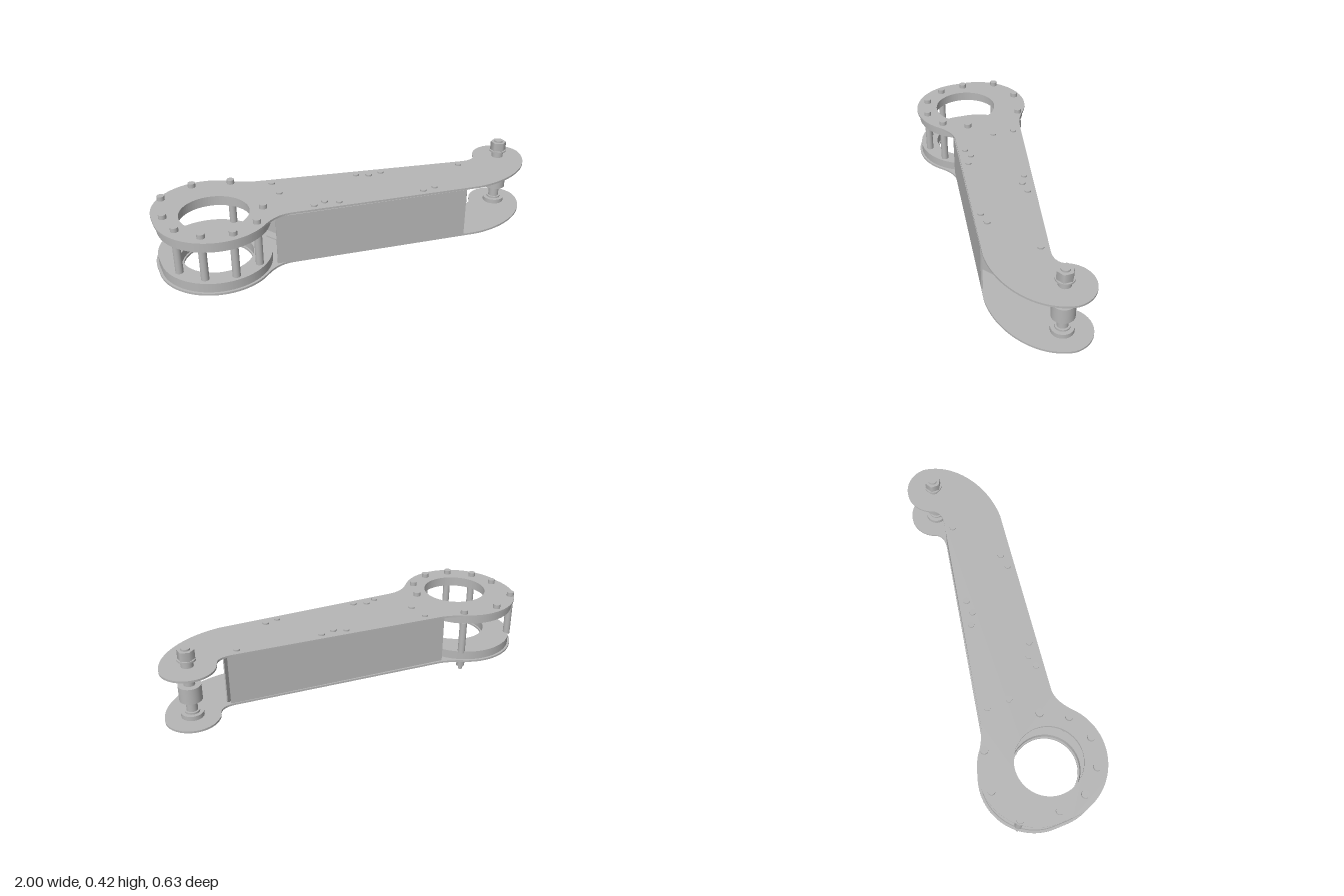
import * as THREE from 'three';

const steel = new THREE.MeshStandardMaterial({ color: 0xb6b6b6 });
steel.name = 'steelGrey';

const BOTTOM = 0.052, TOP = 0.32, T = 0.01;      // plate levels and thickness
const INNER = BOTTOM + T, MID = (INNER + TOP) / 2, GAP = TOP - INNER;
const RING_X = -0.717, RING_Z = 0.032, HOLE_R = 0.167;

export function createModel() {
  const model = new THREE.Group();
  model.name = 'swingArm';

  function add(geometry, name, parent = model) {
    const mesh = new THREE.Mesh(geometry, steel);
    mesh.name = name;
    parent.add(mesh);
    return mesh;
  }
  // Upright cylinder between two heights
  function post(name, x, z, r, y0, y1, sides = 24) {
    const m = add(new THREE.CylinderGeometry(r, r, y1 - y0, sides), name);
    m.position.set(x, (y0 + y1) / 2, z);
    return m;
  }
  // Flat shape (drawn in x, -z) raised between two heights
  function slab(name, shape, y0, y1) {
    const g = new THREE.ExtrudeGeometry(shape, { depth: y1 - y0, bevelEnabled: false, curveSegments: 40 });
    g.rotateX(-Math.PI / 2);
    add(g, name).position.y = y0;
  }
  function circleHole(shape, r) {
    shape.holes.push(new THREE.Path().absarc(RING_X, -RING_Z, r, 0, Math.PI * 2, true));
  }

  // Outline of the two side plates
  const plate = new THREE.Shape();
  plate.moveTo(0.58, -0.31);
  plate.bezierCurveTo(0.78, -0.32, 0.98, -0.2, 1, -0.03);
  plate.absarc(0.867, -0.03, 0.133, 0, 2.8, false);
  plate.quadraticCurveTo(0.72, -0.03, 0.65, -0.018);
  plate.lineTo(-0.42, 0.2);
  plate.quadraticCurveTo(-0.47, 0.208, -0.54, 0.25);
  plate.absarc(-0.72, 0.035, 0.28, 0.87, Math.PI, false);
  plate.absarc(-0.72, -0.03, 0.28, Math.PI, 5.38, false);
  plate.bezierCurveTo(-0.48, -0.19, -0.44, -0.175, -0.38, -0.18);
  plate.closePath();
  circleHole(plate, HOLE_R);
  slab('bottomPlate', plate, BOTTOM, INNER);
  slab('topPlate', plate, TOP, TOP + T);

  // Stiffening rings inside the large end
  const ring = new THREE.Shape();
  ring.absarc(-0.72, 0.035, 0.268, 0, Math.PI, false);
  ring.absarc(-0.72, -0.03, 0.268, Math.PI, Math.PI * 2, false);
  ring.closePath();
  circleHole(ring, HOLE_R + 0.008);
  slab('bottomRing', ring, INNER, 0.108);
  slab('topRing', ring, 0.276, TOP);

  // Group whose local x runs from a to b in plan, local z along the normal
  function span(name, a, b) {
    const g = new THREE.Group();
    g.name = name;
    g.position.set((a[0] + b[0]) / 2, MID, (a[1] + b[1]) / 2);
    g.rotation.y = -Math.atan2(b[1] - a[1], b[0] - a[0]);
    model.add(g);
    return [g, Math.hypot(b[0] - a[0], b[1] - a[1])];
  }

  // Long side walls
  for (const [name, a, b] of [
    ['frontWall', [-0.46, 0.17], [0.51, 0.298]],
    ['backWall', [-0.46, -0.193], [0.67, 0.03]],
  ]) {
    const [g, len] = span(name, a, b);
    add(new THREE.BoxGeometry(len, GAP, 0.008), name + 'Sheet', g);
  }

  // Octagon path for the flanged rib openings
  function octagon(path, r) {
    const pts = [];
    for (let i = 0; i < 8; i++) {
      const t = (i + 0.5) * Math.PI / 4;
      pts.push(new THREE.Vector2(Math.cos(t) * r, Math.sin(t) * r));
    }
    return path.setFromPoints(pts).closePath();
  }

  // Zigzag ribs: rounded web, octagonal lip, folded flanges
  const ribs = [
    { a: [-0.425, -0.18], b: [-0.225, 0.165], side: 1 },
    { a: [-0.2, 0.18], b: [0.1, -0.075], side: -1 },
    { a: [0.14, -0.065], b: [0.355, 0.25], side: 1 },
    { a: [0.35, 0.272], b: [0.685, 0.035], side: -1 },
  ];
  for (const { a, b, side } of ribs) {
    const [g, len] = span('rib', a, b);
    const w = len / 2, h = GAP / 2, r = 0.02;
    const web = new THREE.Shape();
    web.moveTo(-w + r, -h);
    web.lineTo(w - r, -h);
    web.quadraticCurveTo(w, -h, w, -h + r);
    web.lineTo(w, h - r);
    web.quadraticCurveTo(w, h, w - r, h);
    web.lineTo(-w + r, h);
    web.quadraticCurveTo(-w, h, -w, h - r);
    web.lineTo(-w, -h + r);
    web.quadraticCurveTo(-w, -h, -w + r, -h);
    web.holes.push(octagon(new THREE.Path(), 0.05));
    add(new THREE.ExtrudeGeometry(web, { depth: 0.006, bevelEnabled: false }), 'ribWeb', g);

    const lip = octagon(new THREE.Shape(), 0.056);
    lip.holes.push(octagon(new THREE.Path(), 0.048));
    add(new THREE.ExtrudeGeometry(lip, { depth: 0.035, bevelEnabled: false }), 'ribLip', g)
      .position.z = side < 0 ? 0.005 : -0.034;

    for (const s of [-1, 1]) {
      add(new THREE.BoxGeometry(len - 0.08, 0.006, 0.05), 'ribFlange', g)
        .position.set(0, s * (h - 0.003), side * 0.025);
    }
  }

  // Rib rivets through both plates
  for (const [x, z] of [
    [-0.37, -0.145], [-0.37, -0.03], [-0.26, 0.16], [-0.2, 0.145], [-0.135, 0.175], [0.06, -0.06],
    [0.12, -0.03], [0.19, -0.035], [0.295, 0.235], [0.365, 0.225], [0.61, 0.05],
  ]) {
    post('ribRivetTop', x, z, 0.016, TOP + T, 0.338, 16);
    post('ribRivetBottom', x, z, 0.016, 0.042, BOTTOM, 16);
  }

  // Ring bolts; some carry a spacer column, two are long with nuts
  for (const [x, z, column, long] of [
    [-0.92, -0.2, true, true], [-0.75, -0.275], [-0.56, -0.235, true, true],
    [-0.95, -0.015], [-0.925, 0.125, true], [-0.83, 0.23, true],
    [-0.69, 0.262, true], [-0.56, 0.205, true], [-0.49, 0.08],
  ]) {
    post('ringBoltHead', x, z, 0.019, TOP + T, 0.352, 18);
    if (column) post('spacerColumn', x, z, 0.019, 0.1, 0.28);
    if (long) {
      post('longBoltNut', x, z, 0.022, 0.02, BOTTOM, 6);
      post('longBoltEnd', x, z, 0.011, 0, 0.022, 16);
    } else {
      post('ringBoltEnd', x, z, 0.011, 0.03, BOTTOM, 16);
    }
  }

  // Axle stack at the small end: radius, from, to, sides
  for (const [name, r, y0, y1, sides] of [
    ['axleHead', 0.044, 0.012, BOTTOM, 32],
    ['lowerCollar', 0.055, INNER, 0.085, 32],
    ['lowerStep', 0.036, 0.085, 0.094, 32],
    ['axleShaft', 0.027, 0.09, 0.3, 32],
    ['roller', 0.055, 0.152, 0.232, 32],
    ['upperStep', 0.036, 0.288, 0.298, 32],
    ['upperCollar', 0.055, 0.298, TOP, 32],
    ['axleSleeve', 0.03, TOP + T, 0.362, 32],
    ['washer', 0.044, 0.362, 0.37, 32],
    ['hexNut', 0.041, 0.37, 0.415, 6],
    ['axleTip', 0.022, 0.415, 0.424, 24],
  ]) post(name, 0.865, 0.037, r, y0, y1, sides);

  return model;
}
